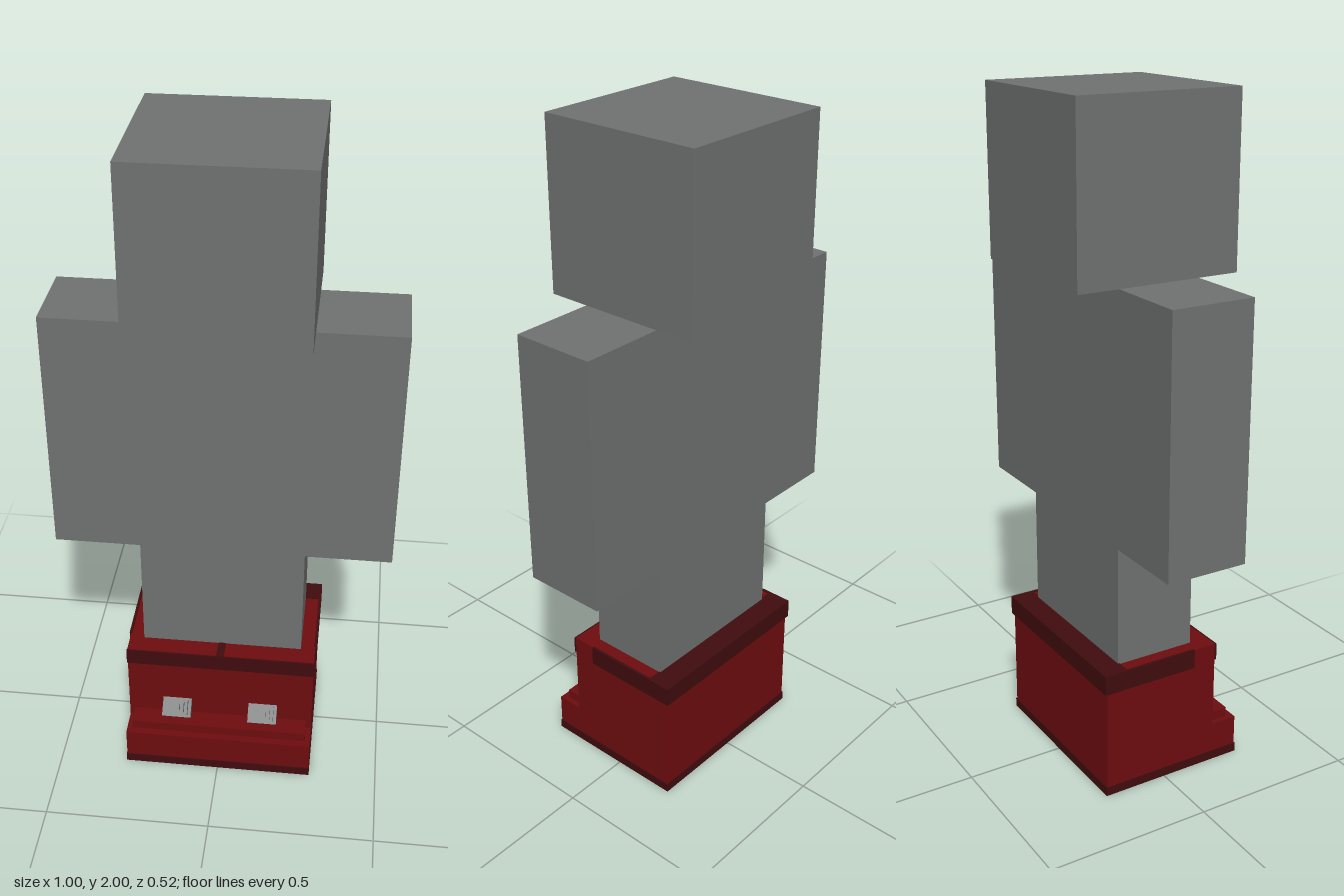
import * as THREE from 'three';

export function createModel() {
  const model = new THREE.Group();
  model.name = 'bootedFigure';
  const mat = (name, color) => {
    const m = new THREE.MeshStandardMaterial({ color });
    m.name = name;
    return m;
  };
  const grey = mat('grey', 0x707271);
  const red = mat('red', 0x6e0d0f);
  const darkRed = mat('darkRed', 0x400c0e);

  // Box given by its lower and upper corners
  const box = (name, m, [x0, y0, z0], [x1, y1, z1], parent = model) => {
    const mesh = new THREE.Mesh(new THREE.BoxGeometry(x1 - x0, y1 - y0, z1 - z0), m);
    mesh.position.set((x0 + x1) / 2, (y0 + y1) / 2, (z0 + z1) / 2);
    mesh.name = name;
    parent.add(mesh);
    return mesh;
  };

  // Blocky figure
  box('head', grey, [-0.25, 1.505, -0.26], [0.25, 2, 0.24]);
  box('torso', grey, [-0.25, 0.76, -0.135], [0.25, 1.505, 0.115]);
  for (const s of [-1, 1]) {
    const side = s > 0 ? 'left' : 'right';
    box(side + 'Arm', grey, [s > 0 ? 0.25 : -0.5, 0.76, -0.135], [s > 0 ? 0.5 : -0.25, 1.505, 0.115]);
    box(side + 'Leg', grey, [s > 0 ? 0 : -0.245, 0.38, -0.135], [s > 0 ? 0.245 : 0, 0.76, 0.115]);
  }

  // Pair of boots with soles, stepped toes and cuffs
  for (const s of [-1, 1]) {
    const boot = new THREE.Group();
    boot.name = s > 0 ? 'leftBoot' : 'rightBoot';
    model.add(boot);
    const part = (name, m, [x0, y0, z0], [x1, y1, z1]) =>
      box(name, m, s > 0 ? [x0, y0, z0] : [-x1, y0, z0], s > 0 ? [x1, y1, z1] : [-x0, y1, z1], boot);
    part('sole', darkRed, [0, 0, -0.2], [0.291, 0.028, 0.26]);
    part('shaft', red, [0, 0.028, -0.197], [0.289, 0.397, 0.175]);
    part('toe', red, [0, 0.028, 0.175], [0.289, 0.122, 0.257]);
    part('toeStep', red, [0, 0.122, 0.175], [0.273, 0.152, 0.235]);
    part('frontCuff', darkRed, [0, 0.345, 0.175], [0.291, 0.397, 0.18]);
    part('sideCuff', darkRed, [0.286, 0.34, -0.2], [0.294, 0.4, 0.1]);
    part('backCuff', darkRed, [0, 0.34, -0.205], [0.294, 0.4, -0.13]);
    part('innerCuff', darkRed, [0, 0.38, 0.115], [0.012, 0.399, 0.178]);

    // Stepped stud leaning up and out from the instep
    const stud = new THREE.Group();
    stud.name = 'stud';
    stud.position.set(s * 0.135, 0.175, 0.182);
    stud.rotation.x = Math.PI / 4;
    boot.add(stud);
    [[0.09, 0.062], [0.07, 0.048], [0.05, 0.032], [0.028, 0.016]].forEach(([w, d], i) => {
      const y = i * 0.019;
      box('studStep', grey, [-w / 2, y, -d / 2], [w / 2, y + 0.019, d / 2], stud);
    });
  }
  return model;
}
